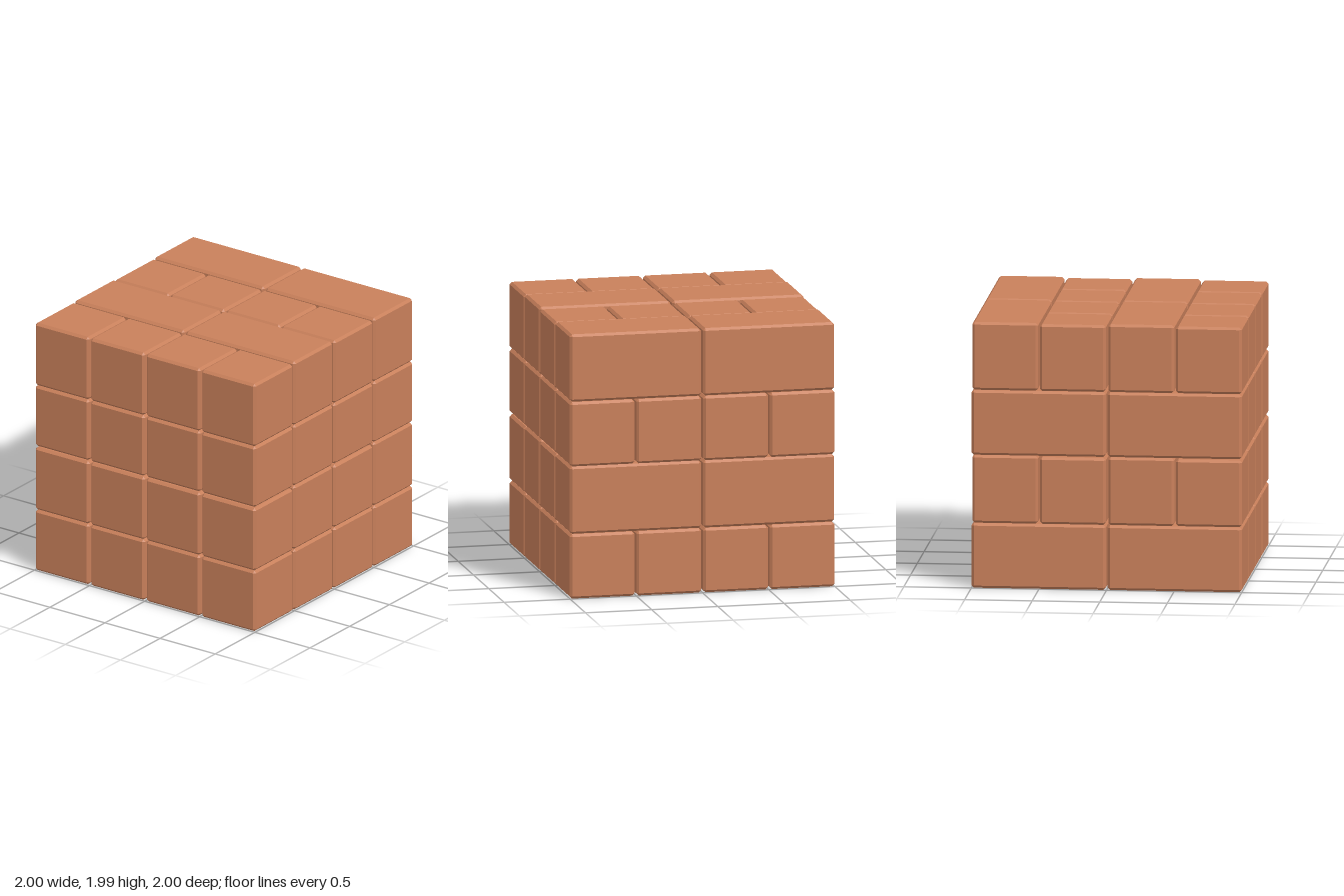
import * as THREE from 'three';
import { ConvexGeometry } from 'three/addons/geometries/ConvexGeometry.js';

const material = new THREE.MeshStandardMaterial({ color: 0xc9805b, flatShading: true });
const BEVEL = 0.018;

// Box with every edge chamfered, given its size
function chamferedBox(w, h, d) {
  const points = [];
  for (const sx of [-1, 1]) for (const sy of [-1, 1]) for (const sz of [-1, 1]) {
    for (let axis = 0; axis < 3; axis++) {
      // each corner becomes three points, one lying on each face
      const inset = [0, 1, 2].map((i) => (i === axis ? 0 : BEVEL));
      points.push(new THREE.Vector3(
        sx * (w / 2 - inset[0]), sy * (h / 2 - inset[1]), sz * (d / 2 - inset[2])));
    }
  }
  return new ConvexGeometry(points);
}

// Brick filling the space between two opposite corners
function brick(name, min, max) {
  const [w, h, d] = max.map((v, i) => v - min[i]);
  const mesh = new THREE.Mesh(chamferedBox(w, h, d), material);
  mesh.position.set(min[0] + w / 2, min[1] + h / 2, min[2] + d / 2);
  mesh.name = name;
  return mesh;
}

// One block of two courses: each has one long brick and two half bricks
function brickBlock() {
  const block = new THREE.Group();
  block.name = 'brickBlock';
  const L = 0.993, S = 0.49, N = 0.503; // full length, half length, start of second half

  // lower course: long brick across the back, half bricks in front
  block.add(brick('lowerLongBrick', [0, 0, 0], [L, 0.484, S]));
  block.add(brick('lowerHalfBrick', [0, 0, N], [S, 0.484, L]));
  block.add(brick('lowerHalfBrick', [N, 0, N], [L, 0.484, L]));

  // upper course: half bricks on one side, long brick running front to back
  block.add(brick('upperHalfBrick', [0, 0.486, 0], [0.488, 0.985, S]));
  block.add(brick('upperHalfBrick', [0, 0.486, N], [0.488, 0.985, L]));
  block.add(brick('upperLongBrick', [0.5, 0.486, 0], [0.988, 0.993, L]));
  return block;
}

export function createModel() {
  const model = new THREE.Group();
  model.name = 'brickStack';
  // two blocks along each axis
  for (const x of [-1, 0.007]) for (const y of [0, 0.994]) for (const z of [-1, 0.007]) {
    const block = brickBlock();
    block.position.set(x, y, z);
    model.add(block);
  }
  return model;
}
